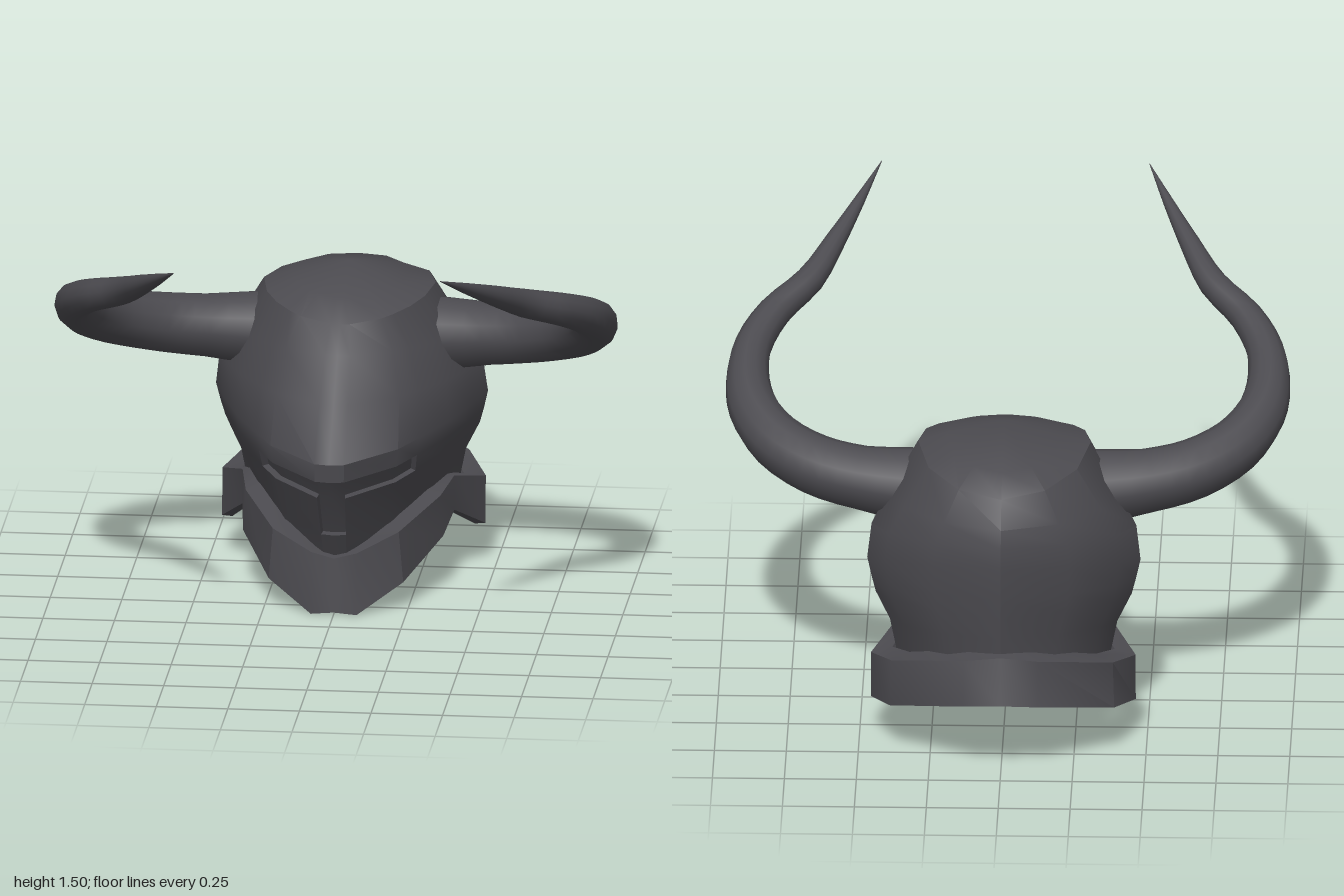
import * as THREE from 'three';
import { toCreasedNormals } from 'three/addons/utils/BufferGeometryUtils.js';

const steel = new THREE.MeshStandardMaterial({ color: 0x4b4a4f });
steel.name = 'dark steel';

// Half ring from front to back, completed by mirroring in x.
function mirrorRing(half) {
  const other = half.slice(1, -1).reverse().map(([x, y, z]) => [-x, y, z]);
  return [...half, ...other];
}

// Thick plate from closed rings (top to bottom); recesses are cut down to the inner skin.
function plate(outer, inner, isRecess = () => false) {
  const n = outer[0].length;
  const pos = [];
  const quad = (a, b, c, d) => pos.push(...a, ...b, ...c, ...a, ...c, ...d);
  const inside = (r) => r >= 0 && r < outer.length - 1;
  const solid = (r, c) => inside(r) && !isRecess(r, (c + n) % n, n);
  for (let r = 0; r < outer.length - 1; r++) {
    for (let c = 0; c < n; c++) {
      const d = (c + 1) % n;
      const corners = [[r, c], [r + 1, c], [r + 1, d], [r, d]];
      const o = corners.map(([i, j]) => outer[i][j]);
      const q = corners.map(([i, j]) => inner[i][j]);
      quad(q[3], q[2], q[1], q[0]);
      if (!solid(r, c)) {
        quad(...q);
        continue;
      }
      quad(...o);
      [[r, c - 1], [r + 1, c], [r, c + 1], [r - 1, c]].forEach(([i, j], e) => {
        const f = (e + 1) % 4;
        if (!solid(i, j)) quad(o[f], o[e], q[e], q[f]);
      });
    }
  }
  const geo = new THREE.BufferGeometry();
  geo.setAttribute('position', new THREE.Float32BufferAttribute(pos, 3));
  return toCreasedNormals(geo, 0.6);
}

const shrink = (ring, s, dy = 0) => ring.map(([x, y, z]) => [x * s, y + dy, -0.45 + (z + 0.45) * s]);

// Plan of the shell: [width share, depth share], wedge-shaped in front.
const PLAN = [[0, 1], [0.11, 0.99], [0.47, 0.77], [0.6, 0.62], [0.78, 0.4],
  [0.92, 0.17], [1, 0], [0.86, -0.34], [0.5, -0.76], [0, -1]];

function shellRing([w, zf, zm, zb, yf, ys, yb, wedge]) {
  return mirrorRing(PLAN.map(([px, f]) => {
    const round = Math.sign(f) * Math.sqrt(1 - px * px);
    const t = THREE.MathUtils.lerp(round, f, wedge);
    const z = t >= 0 ? zm + (zf - zm) * t : zm + (zb - zm) * -t;
    const y = ys + ((f >= 0 ? yf : yb) - ys) * Math.abs(f);
    return [px * w, y, z];
  }));
}

function buildShell() {
  // half width, front z, middle z, back z, front y, side y, back y, wedge
  const rows = [
    [0, -0.44, -0.44, -0.44, 1.125, 1.125, 1.125, 0],       // apex
    [0.2, -0.22, -0.45, -0.75, 1.055, 1.078, 1.055, 0],     // crown
    [0.3, -0.11, -0.45, -0.84, 0.99, 1.05, 0.99, 0],        // crown rim
    [0.4, -0.03, -0.49, -0.905, 0.9, 0.88, 0.9, 0.5],
    [0.46, 0.1, -0.5, -0.93, 0.76, 0.76, 0.84, 0.8],
    [0.475, 0.26, -0.52, -0.94, 0.59, 0.64, 0.77, 1],       // crease
    [0.46, 0.255, -0.53, -0.935, 0.525, 0.575, 0.65, 1],    // brow
    [0.445, 0.2, -0.54, -0.93, 0.45, 0.52, 0.58, 1],        // below the slit
    [0.395, 0.11, -0.55, -0.925, 0.29, 0.42, 0.5, 1],       // foot of the notch
    [0.365, 0.06, -0.55, -0.92, 0.2, 0.27, 0.4, 1],         // neck
  ];
  const outer = rows.map(shellRing);
  const inner = outer.map((ring, i) => shrink(ring, 0.93, i < 3 ? -0.04 : 0));
  // eye slit across the face and a notch below it
  return plate(outer, inner, (r, c, n) => {
    const k = Math.min(c, n - 1 - c);
    return (r === 6 && k < 3) || (r === 7 && k < 1);
  });
}

function buildCollar() {
  const top = mirrorRing([[0, 0.2, 0.09], [0.08, 0.22, 0.085], [0.22, 0.285, 0.03], [0.34, 0.345, -0.22],
    [0.37, 0.365, -0.4], [0.46, 0.31, -0.59], [0.385, 0.35, -0.76], [0.13, 0.42, -0.93], [0, 0.44, -0.95]]);
  const bottom = mirrorRing([[0, 0.01, 0.11], [0.08, 0, 0.1], [0.235, 0.1, 0.02], [0.35, 0.2, -0.22],
    [0.37, 0.24, -0.4], [0.46, 0.14, -0.58], [0.39, 0.185, -0.77], [0.13, 0.265, -0.97], [0, 0.28, -1]]);
  const lip = shrink(top, 0.84, 0.012);
  return plate([lip, top, bottom],
    [shrink(lip, 0.98, -0.02), shrink(top, 0.92, -0.02), shrink(bottom, 0.92)]);
}

// Tapered horn lying in one slanted plane.
function buildHorn() {
  const path = [[0.28, -0.43], [0.5, -0.395], [0.66, -0.34], [0.8, -0.235], [0.88, -0.1], [0.905, 0.03],
    [0.89, 0.18], [0.82, 0.33], [0.7, 0.475], [0.615, 0.65], [0.54, 0.82], [0.465, 1]];
  const radii = [0.135, 0.112, 0.106, 0.098, 0.088, 0.076, 0.066, 0.058, 0.05, 0.036, 0.02, 0.001];
  const curve = new THREE.CatmullRomCurve3(path.map(([x, z]) => new THREE.Vector3(x, 0.875 + (z + 0.42) * 0.44, z)));
  const segments = 33, sides = 12;
  // equal parameter steps keep each radius at its own path point
  curve.getPointAt = (t, target) => curve.getPoint(t, target);
  curve.getTangentAt = (t, target) => curve.getTangent(t, target);
  const geo = new THREE.TubeGeometry(curve, segments, 1, sides, false);
  const p = geo.attributes.position;
  const v = new THREE.Vector3();
  for (let i = 0; i < p.count; i++) {
    const t = Math.floor(i / (sides + 1)) / segments;
    const u = t * (radii.length - 1);
    const k = Math.min(Math.floor(u), radii.length - 2);
    const radius = THREE.MathUtils.lerp(radii[k], radii[k + 1], u - k);
    const centre = curve.getPoint(t);
    v.fromBufferAttribute(p, i).sub(centre).multiplyScalar(radius).add(centre);
    p.setXYZ(i, v.x, v.y, v.z);
  }
  return geo;
}

export function createModel() {
  const model = new THREE.Group();
  model.name = 'hornedHelmet';
  const add = (name, geo) => {
    const mesh = new THREE.Mesh(geo, steel);
    mesh.name = name;
    model.add(mesh);
    return mesh;
  };
  add('shell', buildShell());
  add('collar', buildCollar());
  const horn = buildHorn();
  add('leftHorn', horn);
  add('rightHorn', horn).scale.x = -1;
  return model;
}
